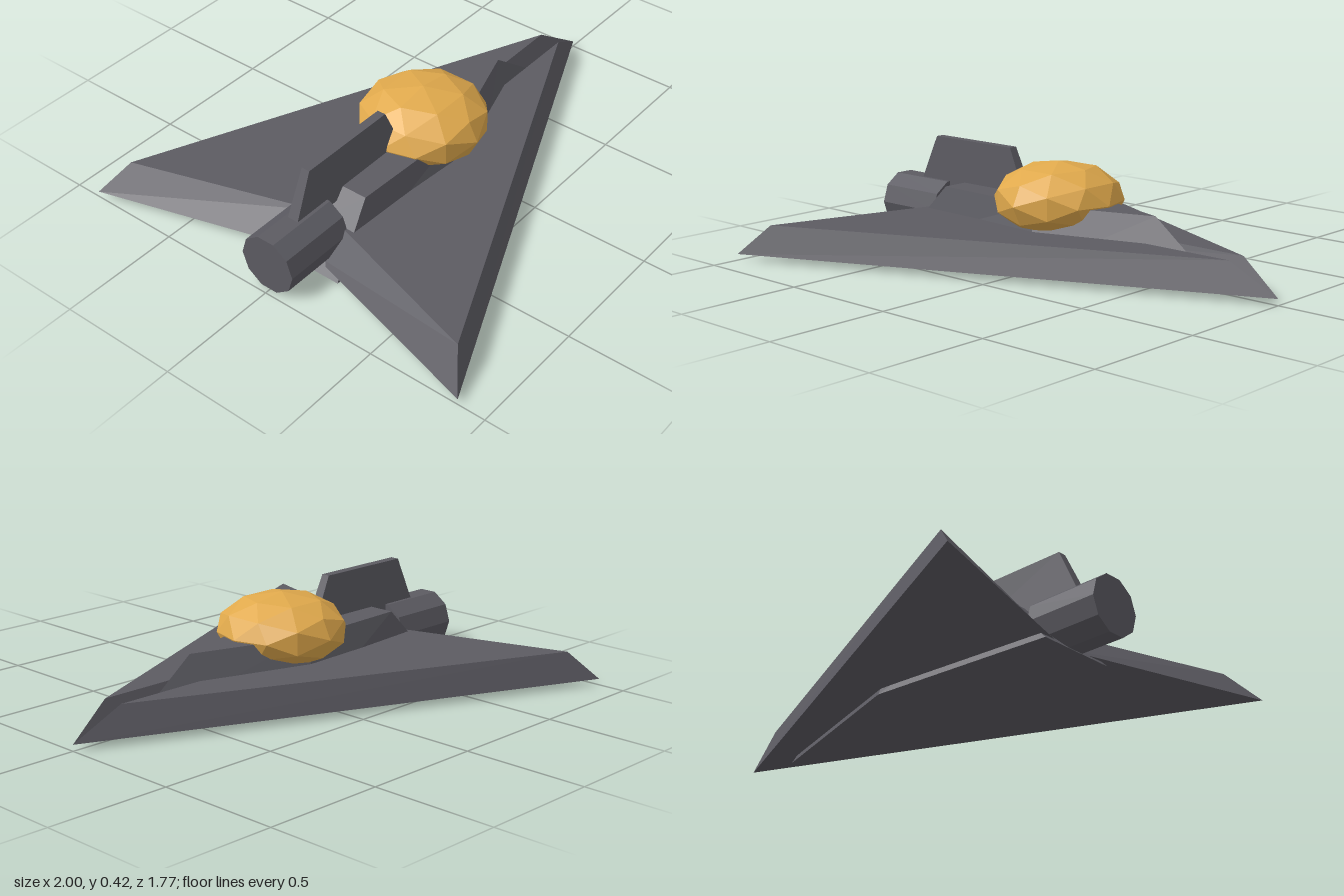
import * as THREE from 'three';

const hullGrey = new THREE.MeshStandardMaterial({ color: 0x5c5b62, flatShading: true });
hullGrey.name = 'hullGrey';
const canopyGold = new THREE.MeshStandardMaterial({ color: 0xe0a94c, flatShading: true });
canopyGold.name = 'canopyGold';

// Tapered convex slab between two matching [x, z] outlines at heights y0 and y1
function slab(bottom, top, y0, y1) {
  let area = 0;
  bottom.forEach(([x, z], i) => {
    const [x2, z2] = bottom[(i + 1) % bottom.length];
    area += x * z2 - x2 * z;
  });
  const order = (list) => (area > 0 ? [...list].reverse() : list);
  const b = order(bottom).map(([x, z]) => [x, y0, z]);
  const t = order(top).map(([x, z]) => [x, y1, z]);
  const pos = [];
  const tri = (...corners) => corners.forEach((c) => pos.push(...c));
  const n = b.length;
  for (let i = 0; i < n; i++) {
    const j = (i + 1) % n;
    tri(b[i], b[j], t[j]);
    tri(b[i], t[j], t[i]);
    if (i > 0 && i < n - 1) {
      tri(t[0], t[i], t[i + 1]);
      tri(b[0], b[i + 1], b[i]);
    }
  }
  const geo = new THREE.BufferGeometry();
  geo.setAttribute('position', new THREE.Float32BufferAttribute(pos, 3));
  geo.computeVertexNormals();
  return geo;
}

const rect = (x0, x1, z) => [[x0, -z], [x0, z], [x1, z], [x1, -z]];

export function createModel() {
  const model = new THREE.Group();
  model.name = 'deltaShip';
  const add = (name, geo, material) => {
    const mesh = new THREE.Mesh(geo, material);
    mesh.name = name;
    model.add(mesh);
    return mesh;
  };

  // Swept wing halves, leaving a shallow groove along the centre line
  for (const [name, s] of [['nearWing', 1], ['farWing', -1]]) {
    const side = (pts) => pts.map(([x, z]) => [x, z * s]);
    add(name, slab(
      side([[1, 0], [-1, 0.885], [-0.75, 0]]),
      side([[0.81, 0.045], [-0.89, 0.8], [-0.66, 0.045]]),
      0.025, 0.145), hullGrey);
  }

  // Central body, running from the belly keel up to the spine
  add('fuselage', slab(
    [[0.75, 0], [-0.02, 0.24], [-0.8, 0.175], [-0.8, -0.175], [-0.02, -0.24]],
    [[0.43, 0], [-0.05, 0.155], [-0.58, 0.133], [-0.58, -0.133], [-0.05, -0.155]],
    0, 0.245), hullGrey);

  // Tail fin
  add('tailFin', slab(rect(-0.85, -0.22, 0.025), rect(-0.75, -0.32, 0.018), 0.2, 0.423), hullGrey);

  // Ten-sided engine lying along x
  const engine = new THREE.CylinderGeometry(0.122, 0.122, 0.31, 10);
  engine.rotateZ(Math.PI / 2);
  add('engine', engine, hullGrey).position.set(-0.825, 0.1235, 0);

  // Faceted canopy dome
  const canopy = new THREE.IcosahedronGeometry(1, 1);
  canopy.scale(0.265, 0.15, 0.265);
  add('canopy', canopy, canopyGold).position.set(-0.067, 0.25, 0);

  return model;
}
